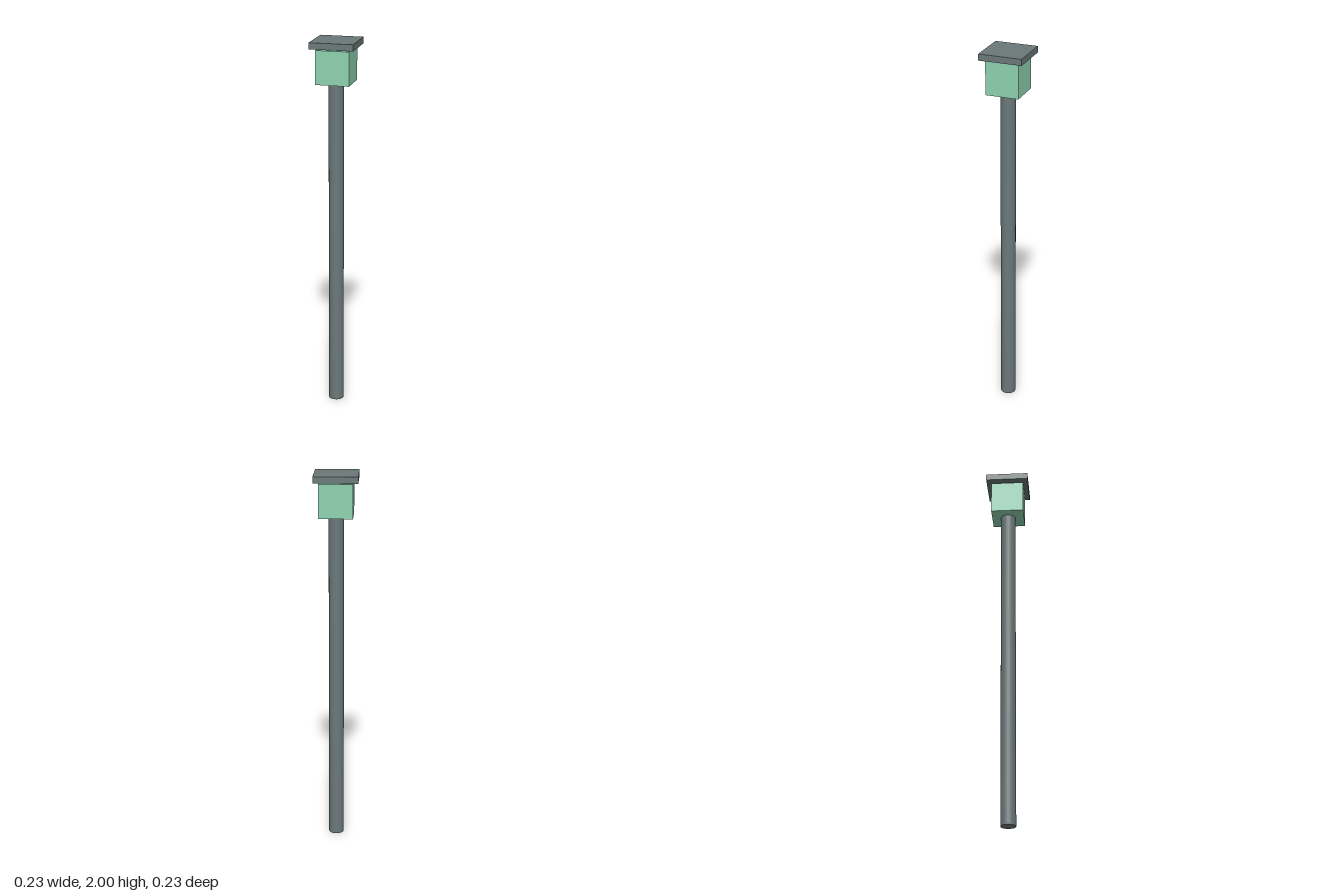
import * as THREE from 'three';

export function createModel() {
  const model = new THREE.Group();
  const metal = new THREE.MeshStandardMaterial({ name: 'grey metal', color: 0x6b7878 });
  const glass = new THREE.MeshStandardMaterial({ name: 'pale green glass', color: 0x8fd2b1 });

  // Adds a part spanning the heights from bottom to top
  const add = (name, geometry, material, bottom, top) => {
    const mesh = new THREE.Mesh(geometry, material);
    mesh.name = name;
    mesh.position.y = (bottom + top) / 2;
    model.add(mesh);
  };

  // Slender round post
  add('post', new THREE.CylinderGeometry(0.04, 0.04, 1.78, 32), metal, 0, 1.78);

  // Square lantern on top of the post
  add('lantern', new THREE.BoxGeometry(0.177, 0.177, 0.177), glass, 1.78, 1.957);

  // Flat overhanging cap, a narrow gap above the lantern
  add('cap', new THREE.BoxGeometry(0.23, 0.034, 0.23), metal, 1.966, 2);

  return model;
}
